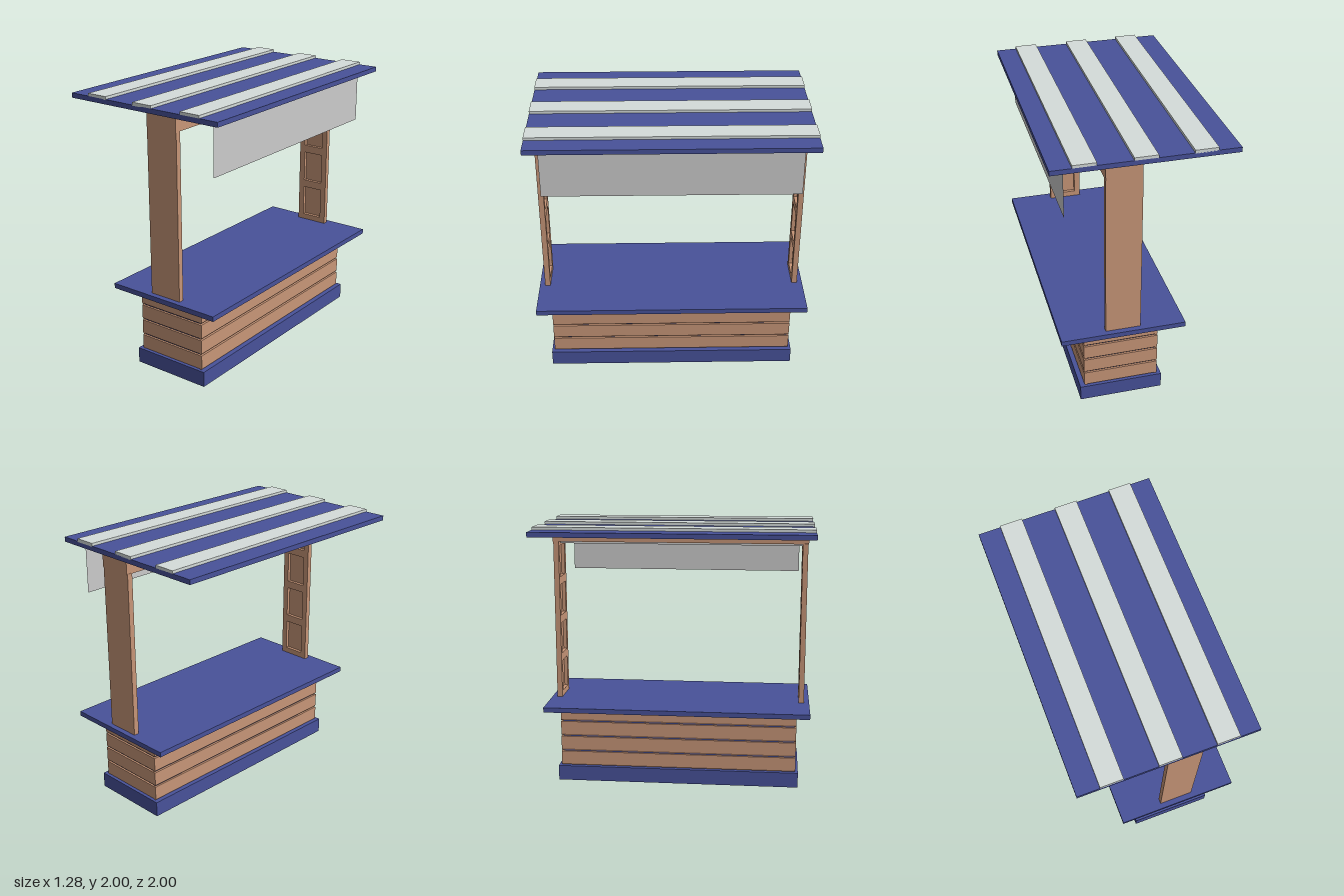
import * as THREE from 'three';

const mat = (color, extra = {}) => new THREE.MeshStandardMaterial({ color, ...extra });

export function createModel() {
  const root = new THREE.Group();
  root.name = 'marketStall';
  const blue = mat(0x48529a);
  const wood = mat(0xc89678);
  const pale = mat(0xd5dcda);
  const grey = mat(0xcccccc);

  const add = (name, geometry, material, parent = root) => {
    const mesh = new THREE.Mesh(geometry, material);
    mesh.name = name;
    parent.add(mesh);
    return mesh;
  };
  // box given by its limits on each axis
  const box = (name, material, [x0, x1], [y0, y1], [z0, z1], parent) => {
    const mesh = add(name, new THREE.BoxGeometry(x1 - x0, y1 - y0, z1 - z0), material, parent);
    mesh.position.set((x0 + x1) / 2, (y0 + y1) / 2, (z0 + z1) / 2);
    return mesh;
  };

  // plinth, dark core showing in the plank gaps, and counter top
  box('plinth', blue, [-0.165, 0.445], [0, 0.115], [-0.925, 0.925]);
  box('core', blue, [-0.12, 0.395], [0.11, 0.59], [-0.89, 0.89]);
  box('counterTop', blue, [-0.31, 0.59], [0.585, 0.622], [-1, 1]);

  // horizontal planks with a chamfered lower edge, facing outwards on four sides
  const plank = (length, depth) => {
    const h = 0.11, c = 0.01;
    const shape = new THREE.Shape([
      new THREE.Vector2(-depth, 0), new THREE.Vector2(-c / 2, 0),
      new THREE.Vector2(0, c), new THREE.Vector2(0, h), new THREE.Vector2(-depth, h),
    ]);
    return new THREE.ExtrudeGeometry(shape, { depth: length, bevelEnabled: false })
      .translate(0, 0, -length / 2);
  };
  const cx = 0.1385;
  const longPlank = plank(1.81, 0.018);
  const endPlank = plank(0.525, 0.02);
  for (let row = 0; row < 4; row++) {
    const y = 0.115 + row * 0.12;
    for (const s of [1, -1]) {
      const side = add('sidePlank', longPlank, wood);
      side.position.set(cx + s * 0.2735, y, 0);
      side.rotation.y = s > 0 ? 0 : Math.PI;
      const end = add('endPlank', endPlank, wood);
      end.position.set(cx, y, s * 0.905);
      end.rotation.y = -s * Math.PI / 2;
    }
  }

  // posts: solid outer board, inner frame with four recessed panels
  const rect = (path, x0, x1, y0, y1) => path
    .moveTo(x0, y0).lineTo(x1, y0).lineTo(x1, y1).lineTo(x0, y1).closePath();
  const frame = new THREE.Shape();
  rect(frame, 0.012, 0.265, 0.62, 1.845);
  for (let i = 0; i < 4; i++) {
    const hole = new THREE.Path();
    const y = 0.665 + i * 0.3;
    rect(hole, 0.058, 0.22, y, y + 0.24);
    frame.holes.push(hole);
  }
  const frameGeometry = new THREE.ExtrudeGeometry(frame, { depth: 0.026, bevelEnabled: false });
  for (const s of [1, -1]) {
    const post = new THREE.Group();
    post.name = s > 0 ? 'frontPost' : 'backPost';
    root.add(post);
    box('postBoard', wood, [0.012, 0.265], [0.62, 1.845],
      s > 0 ? [0.946, 0.96] : [-0.96, -0.946], post);
    add('postFrame', frameGeometry, wood, post).position.z = s > 0 ? 0.92 : -0.946;
  }

  // beam joining the posts, with a light strip below it
  box('beam', wood, [0.015, 0.265], [1.84, 1.946], [-0.965, 0.965]);
  box('lightStrip', grey, [0.08, 0.195], [1.82, 1.84], [-0.92, 0.92]);

  // hanging fascia sheet
  const sheet = add('fasciaSheet', new THREE.PlaneGeometry(1.81, 0.38),
    mat(0xcccccc, { side: THREE.DoubleSide }));
  sheet.position.set(0.53, 1.755, 0);
  sheet.rotation.y = Math.PI / 2;

  // roof board and raised stripes
  box('roof', blue, [-0.64, 0.637], [1.945, 1.98], [-1, 1]);
  for (const x of [-0.4, 0.005, 0.41]) {
    box('roofStripe', pale, [x - 0.081, x + 0.081], [1.975, 2], [-1, 1]);
  }
  return root;
}
